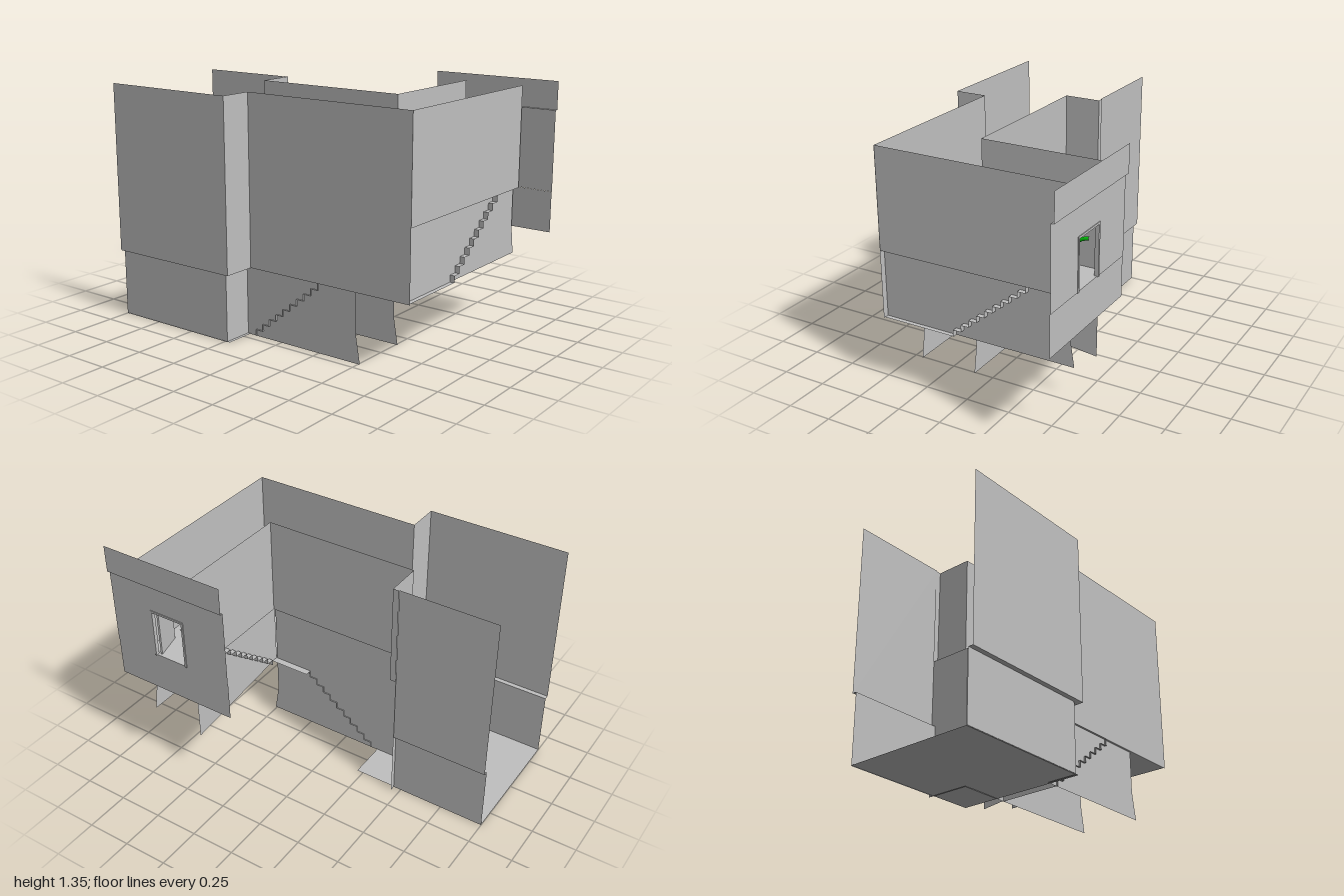
import * as THREE from 'three';

const grey = new THREE.MeshStandardMaterial({ color: 0xc0c0c0, side: THREE.DoubleSide });
grey.name = 'plaster grey';
const green = new THREE.MeshStandardMaterial({ color: 0x00c80a });
green.name = 'rail green';

export function createModel() {
  const model = new THREE.Group();
  model.name = 'stairwell';

  const add = (name, geo, mat = grey) => {
    const mesh = new THREE.Mesh(geo, mat);
    mesh.name = name;
    model.add(mesh);
    return mesh;
  };

  // Open sheet made of convex flat faces, each a list of [x, y, z] corners
  const sheet = (name, faces) => {
    const pos = [];
    for (const f of faces)
      for (let i = 1; i < f.length - 1; i++) pos.push(...f[0], ...f[i], ...f[i + 1]);
    const geo = new THREE.BufferGeometry();
    geo.setAttribute('position', new THREE.Float32BufferAttribute(pos, 3));
    geo.computeVertexNormals();
    return add(name, geo);
  };

  // Upright wall following a plan path of [x, z] points
  const wall = (name, path, y0, y1) => sheet(name, path.slice(1).map(([x, z], i) => {
    const [px, pz] = path[i];
    return [[px, y0, pz], [x, y0, z], [x, y1, z], [px, y1, pz]];
  }));

  // Flat strip between two plan paths
  const ledge = (name, a, b, y) => sheet(name, a.slice(1).map((p, i) =>
    [[a[i][0], y, a[i][1]], [p[0], y, p[1]], [b[i + 1][0], y, b[i + 1][1]], [b[i][0], y, b[i][1]]]));

  const floor = (name, x0, x1, z0, z1, y) =>
    ledge(name, [[x0, z0], [x1, z0]], [[x0, z1], [x1, z1]], y);

  const MID = 0.38, HIGH = 0.76, TOP = 1.32;

  // Floors of the three levels
  floor('lowerFloor', -1, -0.215, -0.108, 0.62, 0.003);
  floor('middleLanding', 0.25, 0.8, 0.07, 0.462, MID);
  floor('middleLandingEdge', 0.49, 0.8, 0.035, 0.07, MID);
  floor('upperLanding', 0.465, 0.805, -0.625, -0.385, HIGH);

  // Front walls: upper part steps outward over the lower part
  const frontUp = [[-1, 0.645], [-0.197, 0.645], [-0.197, 0.462], [0.81, 0.462]];
  const frontLow = [[-1, 0.618], [-0.233, 0.618], [-0.233, 0.45], [0.485, 0.45]];
  wall('frontUpperWall', frontUp, MID, TOP);
  wall('frontLowerWall', frontLow.slice(0, 3), 0, MID);
  ledge('frontLedge', frontUp.slice(0, 3), frontLow.slice(0, 3), MID);
  floor('stairFrontLedge', -0.233, 0.25, 0.45, 0.462, MID);

  // Stair side walls under the landing, flaring at the foot
  const flared = (name, x0, z, y1) => sheet(name, [
    [[x0, 0, z], [0.51, 0, z], [0.485, 0.15, z], [0.485, y1, z], [x0, y1, z]]]);
  flared('lowerStairFrontWall', -0.233, 0.45, MID);
  flared('lowerStairBackWall', -0.455, 0.11, HIGH);

  // Back wall of the lower room and the return towards the stair
  wall('roomBackUpperWall', [[-1, -0.132], [-0.455, -0.132]], MID, TOP);
  wall('roomBackLowerWall', [[-1, -0.108], [-0.455, -0.108]], 0, MID);
  floor('roomBackLedge', -1, -0.455, -0.132, -0.108, MID);
  wall('returnLowerWall', [[-0.455, -0.137], [-0.455, 0.11]], 0, HIGH);
  wall('returnUpperWall', [[-0.455, -0.137], [-0.422, -0.137], [-0.422, 0.065]], HIGH, TOP);
  ledge('returnLedge', [[-0.455, -0.137], [-0.455, 0.11]], [[-0.422, -0.137], [-0.422, 0.065]], HIGH);

  // Inner corner walls beside both stairs
  const innerUp = [[-0.422, 0.065], [0.462, 0.065], [0.462, -0.61]];
  const innerLow = [[-0.455, 0.11], [0.49, 0.11], [0.49, -0.61]];
  wall('innerUpperWall', innerUp, HIGH, TOP);
  ledge('innerLedge', innerUp, innerLow, HIGH);
  sheet('upperStairLeftWall', [
    [[0.49, MID, 0.11], [0.49, 0.295, -0.61], [0.49, HIGH, -0.61], [0.49, HIGH, 0.11]]]);

  // Right wall: upper part steps outward
  wall('rightUpperWall', [[0.808, 0.462], [0.808, -0.61]], HIGH, TOP);
  sheet('rightLowerWall', [[[0.775, MID, 0.462], [0.775, MID, -0.635], [0.775, 0.54, -0.61],
    [0.775, HIGH, -0.61], [0.775, HIGH, 0.462]]]);
  floor('rightLedge', 0.775, 0.808, -0.61, 0.462, HIGH);

  // Back wall around the doorway
  const back = (name, x0, x1, y0, y1, z) => wall(name, [[x0, z], [x1, z]], y0, y1);
  back('backWallBase', 0.255, 0.998, 0.535, HIGH, -0.625);
  back('backWallLeft', 0.73, 0.998, HIGH, 1.2, -0.628);
  back('backWallRight', 0.255, 0.535, HIGH, 1.2, -0.628);
  back('backWallOverDoor', 0.535, 0.73, 1.035, 1.2, -0.628);
  back('backWallTopBand', 0.255, 0.998, 1.2, 1.353, -0.645);
  floor('backWallTopLedge', 0.255, 0.998, -0.645, -0.628, 1.2);

  // Door frame and the door standing ajar
  const box = (name, w, h, d, x, y, z) => {
    const m = add(name, new THREE.BoxGeometry(w, h, d));
    m.position.set(x, y, z);
    return m;
  };
  for (const x of [0.53, 0.735]) box('doorPost', 0.012, 0.285, 0.022, x, 0.9, -0.621);
  box('doorHead', 0.217, 0.012, 0.022, 0.6325, 1.037, -0.621);
  box('door', 0.01, 0.268, 0.158, 0.73, 0.897, -0.536).rotation.y = 0.26;

  // Two flights of ten steps; place() maps run, height and side to the plan
  const RISE = 0.038, RUN = 0.0467, STEPS = 10;
  const flight = (name, a, b, place) => {
    const faces = [];
    for (let i = 0; i < STEPS; i++) {
      const r = i * RUN, y = i * RISE;
      faces.push([place(r, y, a), place(r, y, b), place(r, y + RISE, b), place(r, y + RISE, a)]);
      if (i < STEPS - 1) faces.push([place(r, y + RISE, a), place(r, y + RISE, b),
        place(r + RUN, y + RISE, b), place(r + RUN, y + RISE, a)]);
    }
    sheet(name, faces);
  };
  const alongX = (r, y, s) => [-0.17 + r, y, s];
  const alongZ = (r, y, s) => [s, MID + y, 0.036 - r];
  flight('lowerStair', 0.104, 0.46, alongX);
  flight('upperStair', 0.463, 0.803, alongZ);

  // Handrails with eased ends
  const railPath = [[-0.07, 0.05], [-0.01, 0.07], [0.05, 0.11], [0.25, 0.28], [0.45, 0.45],
    [0.52, 0.51], [0.56, 0.54], [0.6, 0.55]];
  const rail = (name, side, place) => {
    const curve = new THREE.CatmullRomCurve3(
      railPath.map(([r, y]) => new THREE.Vector3(...place(r, y, side))));
    add(name, new THREE.TubeGeometry(curve, 32, 0.01, 8), green);
  };
  rail('lowerRailBack', 0.145, alongX);
  rail('lowerRailFront', 0.397, alongX);
  rail('upperRail', 0.5, alongZ);

  return model;
}
